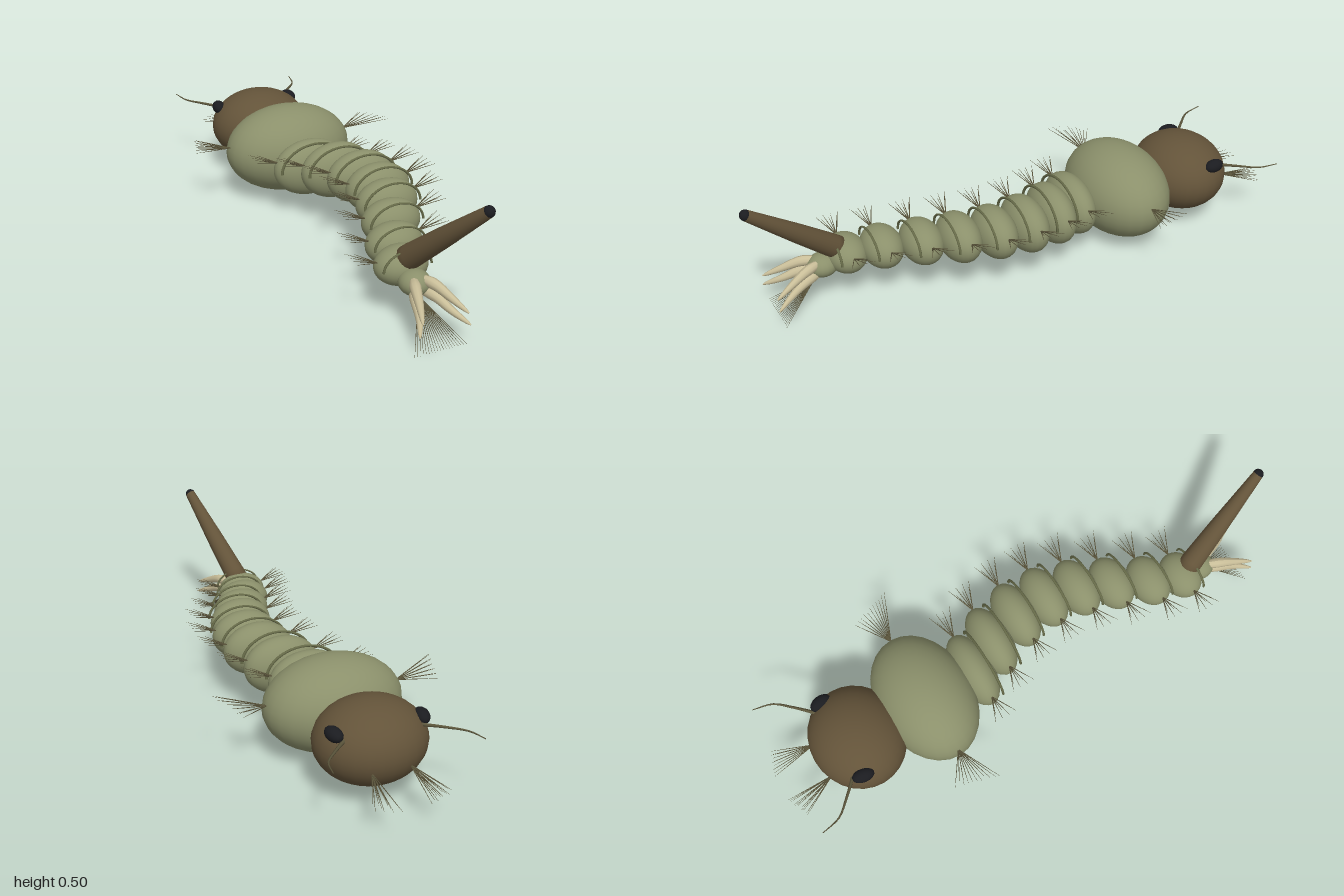
import * as THREE from 'three';
import { mergeGeometries } from 'three/addons/utils/BufferGeometryUtils.js';

const V = (x, y, z) => new THREE.Vector3(x, y, z);
const UP = V(0, 1, 0);

export function createModel() {
  const root = new THREE.Group();
  const mat = (name, color) => {
    const m = new THREE.MeshStandardMaterial({ color });
    m.name = name;
    return m;
  };
  const green = mat('body green', 0x8b906b);
  const ringGreen = mat('dark olive', 0x666a48);
  const brown = mat('head brown', 0x635339);
  const black = mat('eye black', 0x1b1c20);
  const cream = mat('gill cream', 0xc8bd98);
  const hair = mat('bristle olive brown', 0x5c563c);

  const add = (name, geometry, material) => {
    const m = new THREE.Mesh(geometry, material);
    m.name = name;
    root.add(m);
    return m;
  };
  const ellipsoid = (name, c, r, material, seg = 28) => {
    const m = add(name, new THREE.SphereGeometry(1, seg, Math.round(seg * 0.7)), material);
    m.position.copy(c);
    m.scale.copy(r);
    return m;
  };
  // Lathe profile of [radius, fraction] pairs, aimed from a to b
  const spindle = (a, b, profile, sides) => {
    const dir = b.clone().sub(a);
    const len = dir.length();
    const g = new THREE.LatheGeometry(profile.map(([r, t]) => new THREE.Vector2(r, t * len)), sides);
    g.applyQuaternion(new THREE.Quaternion().setFromUnitVectors(UP, dir.normalize()));
    return g.translate(a.x, a.y, a.z);
  };
  // A fan of fine hairs; tipAt(t) gives each tip for t from -1 to 1
  const fan = (name, base, count, tipAt) => {
    const hairs = [];
    for (let i = 0; i < count; i++) {
      const t = (i / (count - 1)) * 2 - 1;
      hairs.push(spindle(base, tipAt(t, i), [[0.0016, 0], [0.0012, 0.6], [0.0004, 1]], 5));
    }
    add(name, mergeGeometries(hairs), hair);
  };
  // Tube narrowing to its end
  const taperedTube = (points, steps, sides, radiusAt) => {
    const curve = new THREE.CatmullRomCurve3(points);
    const g = new THREE.TubeGeometry(curve, steps, 1, sides);
    const p = g.attributes.position;
    for (let i = 0; i < p.count; i++) {
      const t = Math.floor(i / (sides + 1)) / steps;
      const c = curve.getPointAt(t);
      const q = V(p.getX(i), p.getY(i), p.getZ(i)).sub(c).multiplyScalar(radiusAt(t)).add(c);
      p.setXYZ(i, q.x, q.y, q.z);
    }
    g.computeVertexNormals();
    return g;
  };

  // Head and thorax
  ellipsoid('head', V(0, 0.187, -0.685), V(0.19, 0.14, 0.17), brown);
  ellipsoid('thorax', V(0, 0.185, -0.41), V(0.245, 0.165, 0.174), green);

  for (const s of [-1, 1]) {
    const side = s > 0 ? 'left' : 'right';
    const eye = ellipsoid(side + 'Eye', V(s * 0.152, 0.262, -0.737), V(0.025, 0.024, 0.04), black, 16);
    eye.rotation.y = s * 0.15;
    add(side + 'Antenna', taperedTube(
      [V(s * 0.135, 0.25, -0.77), V(s * 0.19, 0.256, -0.825), V(s * 0.237, 0.26, -0.88), V(s * 0.254, 0.265, -0.95)],
      12, 6, t => 0.0065 - 0.005 * t), hair);
    // Mouth brush
    fan(side + 'MouthBrush', V(s * 0.066, 0.155, -0.83), 11,
      (t, i) => V(s * (0.092 + t * 0.042), 0.114 + (i % 3) * 0.012, -0.985 + 0.016 * t));
    // Thorax bristles
    fan(side + 'ThoraxBristles', V(s * 0.235, 0.218, -0.41), 11,
      (t, i) => V(s * (0.375 + t * 0.025), 0.245 + (i % 2) * 0.008 + t * 0.007, -0.415 + t * 0.075));
  }

  // Abdomen segments: centre x, y, z and half width, half height
  const segments = [
    [0, 0.175, -0.21, 0.145, 0.107], [0.053, 0.194, -0.1, 0.138, 0.105],
    [0.088, 0.209, 0.025, 0.13, 0.097], [0.091, 0.214, 0.148, 0.122, 0.089],
    [0.06, 0.212, 0.27, 0.115, 0.084], [0.01, 0.203, 0.39, 0.106, 0.077],
    [-0.048, 0.188, 0.515, 0.1, 0.072], [-0.088, 0.174, 0.633, 0.092, 0.066],
  ];
  segments.forEach(([x, y, z, rx, ry], i) => {
    ellipsoid('abdomenSegment' + (i + 1), V(x, y, z), V(rx, ry, 0.073), green);
    // Raised half hoop over the back of each segment
    const hoop = add('segmentHoop' + (i + 1), new THREE.TorusGeometry(1, 0.045, 8, 28, Math.PI), ringGreen);
    hoop.position.set(x, y + 0.006, z + 0.045);
    hoop.scale.set(rx * 0.93, ry * 0.93, 0.1);
    for (const s of [-1, 1]) {
      fan((s > 0 ? 'left' : 'right') + 'SegmentBristles' + (i + 1),
        V(x + s * rx * 0.9, y + ry * 0.35, z), 7,
        (t, k) => V(x + s * (rx + 0.085 - 0.025 * (k % 2)), y + ry * 0.35 + 0.033, z + t * 0.042));
    }
  });

  // Tail segment
  ellipsoid('tailSegment', V(-0.088, 0.152, 0.72), V(0.052, 0.042, 0.055), green, 20);

  // Breathing siphon with dark tip
  const base = V(-0.09, 0.192, 0.645);
  const tip = V(-0.003, 0.483, 0.982);
  add('siphon', spindle(base, tip, [[0, 0], [0.041, 0], [0.041, 0.12], [0.033, 0.5], [0.019, 1], [0, 1]], 20), brown);
  ellipsoid('siphonTip', tip, V(0.019, 0.019, 0.019), black, 14);

  // Four tail gills
  for (const s of [-1, 1]) {
    for (const [name, y0, y1, spread] of [['upper', 0.17, 0.118, 0.08], ['lower', 0.132, 0.075, 0.089]]) {
      const x = -0.088;
      add(name + (s > 0 ? 'Left' : 'Right') + 'Gill', taperedTube(
        [V(x + s * 0.015, y0, 0.74), V(x + s * 0.035, y0 - 0.004, 0.79),
          V(x + s * 0.056, (y0 + y1) / 2, 0.85), V(x + s * spread, y1, 0.912)],
        14, 10, t => 0.002 + 0.019 * Math.pow(1 - t, 0.6) * Math.min(1, 0.6 + 2 * t)), cream);
    }
  }

  // Fan-shaped brush below the tail
  fan('tailBrush', V(-0.088, 0.115, 0.745), 19, t => V(-0.092 + t * 0.092, 0.001, 0.895));

  return root;
}
